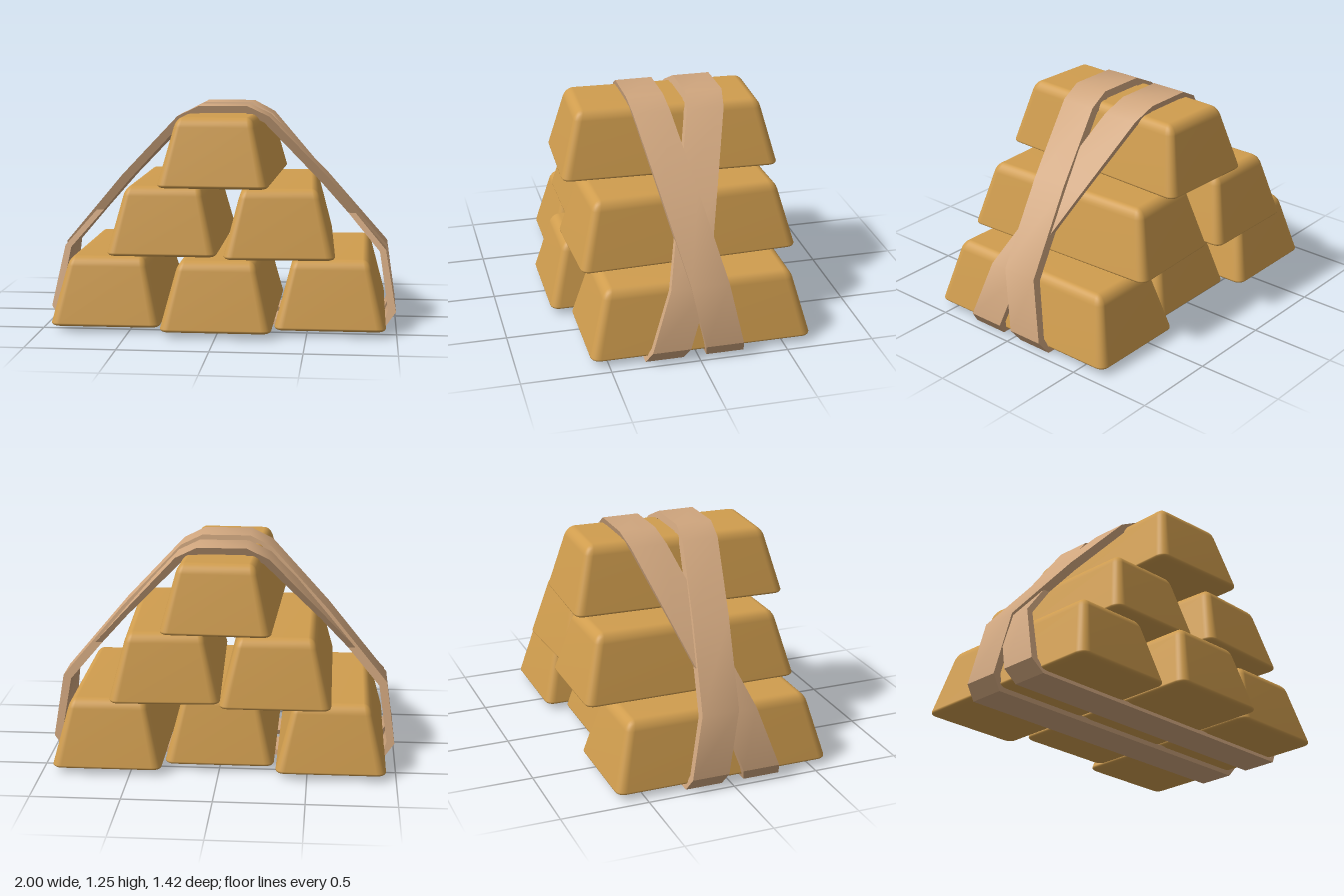
import * as THREE from 'three';
import { mergeVertices, toCreasedNormals } from 'three/addons/utils/BufferGeometryUtils.js';
import { RoundedBoxGeometry } from 'three/addons/geometries/RoundedBoxGeometry.js';

// Tapered ingot with soft edges, standing on y = 0
function barGeometry() {
  const h = 0.39, r = 0.055;
  const box = new RoundedBoxGeometry(0.63, h, 1.265, 3, r);
  box.deleteAttribute('normal');
  box.deleteAttribute('uv');
  box.clearGroups();
  const geo = mergeVertices(box, 1e-4);
  const p = geo.attributes.position;
  for (let i = 0; i < p.count; i++) {
    let y = p.getY(i) + h / 2;
    if (y < r + 1e-4) y *= 0.4; // tighter bevel along the base
    const t = y / h;
    p.setXYZ(i, p.getX(i) * (1 - 0.32 * t), y, p.getZ(i) * (1 - 0.165 * t));
  }
  geo.computeVertexNormals();
  return geo;
}

// Mirrors the right half of an outline into a closed loop
function loop(half) {
  const left = half.map(([x, y]) => [-x, y]).reverse();
  return [...half, ...left].map(([x, y]) => new THREE.Vector2(x, y));
}

// Band around the stack, leaning from zBottom at the floor to zTop at the peak
function strapGeometry(outer, inner, zBottom, zTop) {
  const width = 0.215, height = 1.25;
  const shape = new THREE.Shape(loop(outer));
  shape.holes.push(new THREE.Path(loop(inner)));
  const geo = new THREE.ExtrudeGeometry(shape, { depth: width, bevelEnabled: false });
  const p = geo.attributes.position;
  for (let i = 0; i < p.count; i++) {
    const lean = zBottom + (zTop - zBottom) * p.getY(i) / height;
    p.setZ(i, p.getZ(i) - width / 2 + lean);
  }
  geo.clearGroups();
  return toCreasedNormals(geo, 0.6);
}

export function createModel() {
  const model = new THREE.Group();
  model.name = 'strappedBarStack';
  const gold = new THREE.MeshStandardMaterial({ color: 0xd09d4e });
  gold.name = 'gold';
  const leather = new THREE.MeshStandardMaterial({ color: 0xd0a67e });
  leather.name = 'tan strap';

  // Bars: name, x, y, z, turn
  const bar = barGeometry();
  const bars = [
    ['bottomBarRight', -0.633, 0.025, -0.03, 0],
    ['bottomBarMiddle', 0, 0.025, 0.08, 0],
    ['bottomBarLeft', 0.63, 0.025, -0.03, 0],
    ['middleBarRight', -0.32, 0.42, -0.09, 0],
    ['middleBarLeft', 0.322, 0.42, -0.028, 0.04],
    ['topBar', -0.005, 0.815, -0.02, -0.035],
  ];
  for (const [name, x, y, z, turn] of bars) {
    const mesh = new THREE.Mesh(bar, gold);
    mesh.name = name;
    mesh.position.set(x, y, z);
    mesh.rotation.y = turn;
    model.add(mesh);
  }

  // Two crossing straps, the back one pulled tighter at the sides
  const inner = [[0.93, 0.03], [0.955, 0.09], [0.905, 0.41], [0.56, 0.81], [0.235, 1.155], [0.13, 1.21]];
  const outerFront = [[0.94, 0], [1, 0.08], [0.95, 0.43], [0.6, 0.84], [0.265, 1.19], [0.14, 1.25]];
  const outerBack = [[0.94, 0], [1, 0.08], [0.94, 0.42], [0.587, 0.825], [0.265, 1.185], [0.14, 1.25]];
  const straps = [
    ['frontStrap', outerFront, -0.155, 0.11],
    ['backStrap', outerBack, 0.19, -0.235],
  ];
  for (const [name, outer, zBottom, zTop] of straps) {
    const mesh = new THREE.Mesh(strapGeometry(outer, inner, zBottom, zTop), leather);
    mesh.name = name;
    model.add(mesh);
  }
  return model;
}
